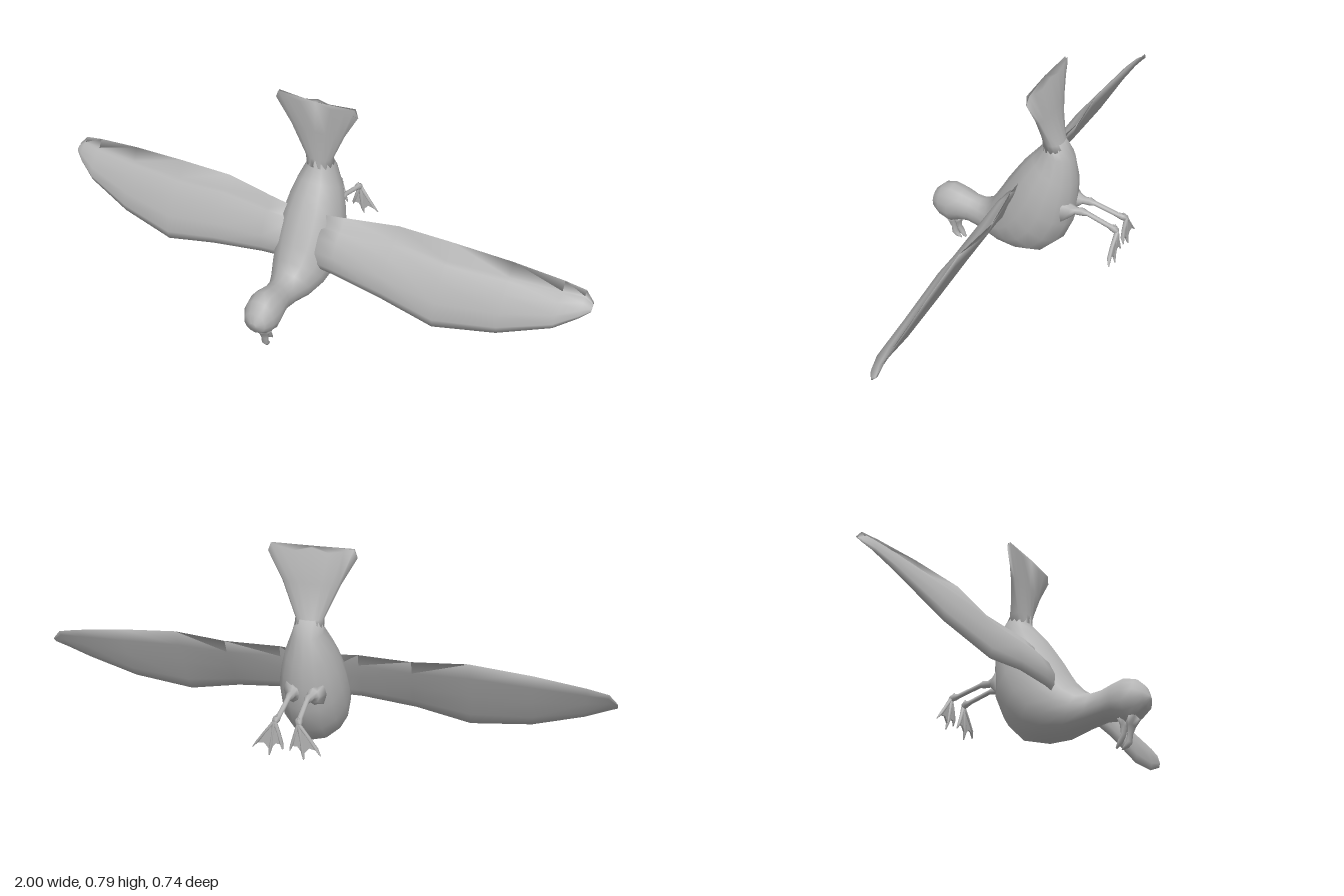
import * as THREE from 'three';

// Skin a list of closed rings, cap both ends and make the faces point outward
function loft(rings) {
  const n = rings[0].length, pos = [], idx = [];
  rings.forEach(r => r.forEach(p => pos.push(...p)));
  for (let i = 0; i < rings.length - 1; i++) {
    for (let j = 0; j < n; j++) {
      const a = i * n + j, b = i * n + (j + 1) % n;
      idx.push(a, b, a + n, b, b + n, a + n);
    }
  }
  const last = (rings.length - 1) * n;
  for (let j = 1; j < n - 1; j++) {
    idx.push(0, j + 1, j, last, last + j, last + j + 1);
  }
  const at = i => new THREE.Vector3().fromArray(pos, i * 3);
  let volume = 0;
  for (let i = 0; i < idx.length; i += 3) {
    volume += at(idx[i]).dot(at(idx[i + 1]).cross(at(idx[i + 2])));
  }
  if (volume < 0) idx.reverse();
  const g = new THREE.BufferGeometry();
  g.setAttribute('position', new THREE.Float32BufferAttribute(pos, 3));
  g.setIndex(idx);
  g.computeVertexNormals();
  return g;
}

// Elliptical ring between an upper and a lower point of the side profile
function ring([z1, y1, z2, y2, w, x = 0], n = 8) {
  return Array.from({ length: n }, (_, i) => {
    const a = i / n * Math.PI * 2, c = Math.cos(a);
    return [x + w * Math.sin(a), (y1 + y2) / 2 + (y1 - y2) / 2 * c, (z1 + z2) / 2 + (z1 - z2) / 2 * c];
  });
}

export function createModel() {
  const model = new THREE.Group();
  const plumage = new THREE.MeshStandardMaterial({ color: 0xb4b4b4 });
  const add = (name, geometry) => {
    const mesh = new THREE.Mesh(geometry, plumage);
    mesh.name = name;
    model.add(mesh);
    return mesh;
  };
  const tube = (name, profile, n) => add(name, loft(profile.map(p => ring(p, n))));

  // Head, neck and body: upper z, y, lower z, y, half width
  tube('body', [
    [0.372, 0.168, 0.372, 0.152, 0.012],
    [0.36, 0.203, 0.36, 0.122, 0.04],
    [0.33, 0.233, 0.33, 0.098, 0.057],
    [0.29, 0.243, 0.295, 0.085, 0.062],
    [0.25, 0.231, 0.252, 0.105, 0.058],
    [0.21, 0.218, 0.215, 0.108, 0.05],
    [0.175, 0.213, 0.15, 0.095, 0.055],
    [0.145, 0.222, 0.07, 0.075, 0.075],
    [0.12, 0.25, -0.02, 0.077, 0.097],
    [0.09, 0.3, -0.09, 0.097, 0.112],
    [0.065, 0.345, -0.15, 0.16, 0.118],
    [0.03, 0.4, -0.185, 0.245, 0.114],
    [0, 0.445, -0.193, 0.33, 0.1],
    [-0.035, 0.488, -0.195, 0.405, 0.082],
    [-0.068, 0.528, -0.18, 0.5, 0.054],
    [-0.07, 0.56, -0.145, 0.555, 0.045],
  ], 14);

  // Fanned tail with a scalloped end
  const tailRings = [
    [-0.068, 0.52, -0.17, 0.515, 0.05],
    [-0.07, 0.56, -0.143, 0.555, 0.05],
    [-0.07, 0.67, -0.109, 0.67, 0.1],
    [-0.068, 0.77, -0.09, 0.77, 0.152],
  ].map(p => ring(p, 16));
  tailRings[3].forEach(p => {
    const x = Math.abs(p[0]);
    p[1] = x < 0.03 ? 0.787 : x < 0.08 ? 0.773 : x < 0.13 ? 0.782 : x < 0.145 ? 0.79 : 0.762;
  });
  add('tail', loft(tailRings));

  // Parted, hooked bill
  tube('upperBill', [
    [0.335, 0.105, 0.285, 0.1, 0.034],
    [0.315, 0.075, 0.288, 0.08, 0.022],
    [0.304, 0.05, 0.29, 0.055, 0.015],
    [0.302, 0.022, 0.285, 0.028, 0.014],
    [0.29, 0.007, 0.277, 0.018, 0.01],
    [0.268, 0.002, 0.267, 0.006, 0.003],
  ]);
  tube('lowerBill', [
    [0.292, 0.105, 0.255, 0.11, 0.03],
    [0.287, 0.08, 0.265, 0.085, 0.019],
    [0.281, 0.052, 0.267, 0.056, 0.013],
    [0.27, 0.028, 0.255, 0.036, 0.012],
    [0.249, 0.009, 0.246, 0.014, 0.004],
  ]);

  // Wing stations: x, leading y, z, trailing y, z, thickness
  const stations = [
    [0.07, 0.215, 0.06, 0.392, -0.01, 0.03],
    [0.14, 0.213, 0.066, 0.4, -0.015, 0.032],
    [0.33, 0.19, 0.08, 0.41, -0.047, 0.034],
    [0.52, 0.15, 0.088, 0.42, -0.035, 0.034],
    [0.73, 0.188, 0.06, 0.408, -0.045, 0.03],
    [0.9, 0.255, 0.028, 0.39, -0.053, 0.022],
    [0.97, 0.3, -0.004, 0.378, -0.055, 0.014],
    [1, 0.322, -0.025, 0.345, -0.048, 0.005],
  ];
  // Section: fraction along the chord, offset in thicknesses
  const section = [[0, 0], [0.08, 0.6], [0.28, 1], [0.55, 0.85], [0.73, 0.45],
    [0.78, 0.02], [1, 0], [0.8, -0.25], [0.5, -0.2], [0.2, -0.3]];

  for (const s of [1, -1]) {
    const side = s > 0 ? 'left' : 'right';
    add(side + 'Wing', loft(stations.map(([x, ly, lz, ty, tz, t]) =>
      section.map(([u, v]) => [s * x, ly + (ty - ly) * u + v * t * 0.55, lz + (tz - lz) * u + v * t * 0.83]))));

    // Leg trailing behind the body
    tube(side + 'Leg', [
      [-0.165, 0.36, -0.165, 0.26, 0.035, s * 0.04],
      [-0.19, 0.336, -0.19, 0.284, 0.022, s * 0.035],
      [-0.21, 0.328, -0.206, 0.302, 0.014, s * 0.033],
      [-0.232, 0.332, -0.232, 0.304, 0.014, s * 0.032],
      [-0.25, 0.325, -0.25, 0.309, 0.009, s * 0.032],
      [-0.335, 0.302, -0.33, 0.287, 0.009, s * 0.035],
      [-0.355, 0.304, -0.345, 0.28, 0.013, s * 0.037],
      [-0.369, 0.296, -0.358, 0.275, 0.009, s * 0.04],
    ]);

    // Three toes fanning from the ankle, and a small hind toe
    for (const [x, y] of [[0.012, 0.195], [0.058, 0.168], [0.114, 0.19]]) {
      const at = t => s * (0.04 + (x - 0.04) * t);
      const h = t => 0.29 + (y - 0.29) * t;
      tube(side + 'Toe', [
        [-0.355, h(0), -0.37, h(0), 0.007, at(0)],
        [-0.354, h(0.45), -0.368, h(0.45), 0.007, at(0.45)],
        [-0.355, h(0.8), -0.37, h(0.8), 0.006, at(0.8)],
        [-0.366, h(1), -0.37, h(1), 0.002, at(1)],
      ], 6);
    }
    tube(side + 'HindToe', [
      [-0.343, 0.295, -0.36, 0.295, 0.007, s * 0.038],
      [-0.35, 0.308, -0.356, 0.308, 0.002, s * 0.036],
    ], 6);

    // Web between the toes
    const web = new THREE.Shape([[0.04, 0.285], [0.016, 0.21], [0.036, 0.212], [0.056, 0.185],
      [0.076, 0.21], [0.103, 0.205]].map(([x, y]) => new THREE.Vector2(s * x, y)));
    add(side + 'Web', new THREE.ExtrudeGeometry(web, { depth: 0.006, bevelEnabled: false })).position.z = -0.366;
  }
  return model;
}
